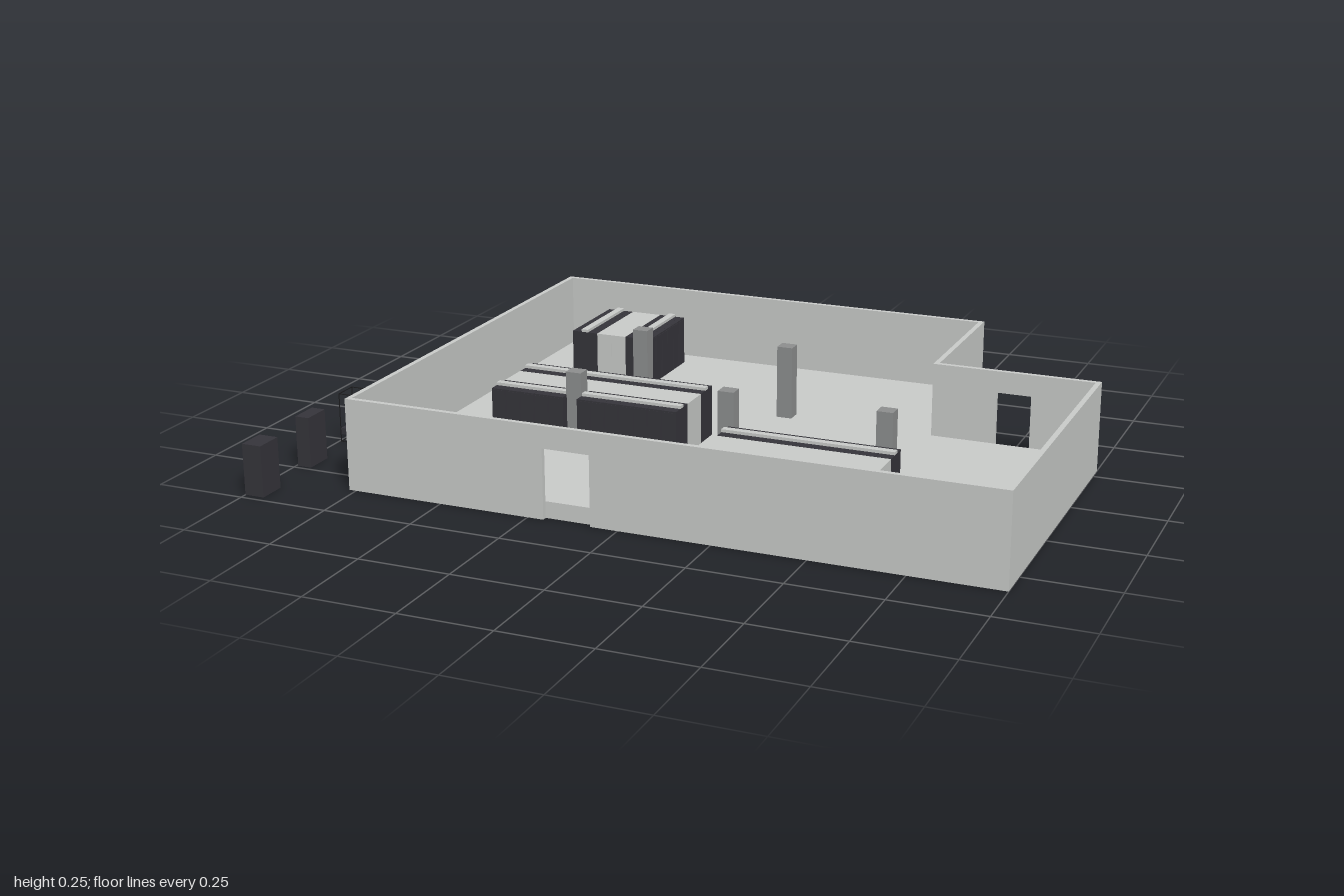
import * as THREE from 'three';

const mat = (name, color) => {
  const m = new THREE.MeshStandardMaterial({ color });
  m.name = name;
  return m;
};

export function createModel() {
  const shell = mat('light grey', 0xcbcdcb);
  const dark = mat('rack charcoal', 0x36353b);
  const columnGrey = mat('column grey', 0x8e9090);
  const black = mat('frame black', 0x1c1c1e);
  const FLOOR = 0.045, WALL = 0.25, T = 0.014, RACK_H = 0.14, DEPTH = 0.08;
  const model = new THREE.Group();
  model.name = 'serverRoom';

  // Box given by its limits on each axis
  const box = (parent, name, m, x0, x1, y0, y1, z0, z1) => {
    const mesh = new THREE.Mesh(new THREE.BoxGeometry(x1 - x0, y1 - y0, z1 - z0), m);
    mesh.position.set((x0 + x1) / 2, (y0 + y1) / 2, (z0 + z1) / 2);
    mesh.name = name;
    parent.add(mesh);
    return mesh;
  };

  // Raised floor, an L-shaped slab inside the walls
  const floorPts = [[-0.756, -0.721], [0.541, -0.721], [0.541, -0.281],
    [0.986, -0.281], [0.986, 0.581], [-0.756, 0.581]];
  const floorShape = new THREE.Shape(floorPts.map(([x, z]) => new THREE.Vector2(x, -z)));
  const floorGeo = new THREE.ExtrudeGeometry(floorShape, { depth: FLOOR, bevelEnabled: false });
  floorGeo.rotateX(-Math.PI / 2);
  const floor = new THREE.Mesh(floorGeo, shell);
  floor.name = 'raisedFloor';
  model.add(floor);

  // Outer walls: an elevation with an optional doorway, extruded inwards
  const corners = [[-0.77, -0.735], [0.555, -0.735], [0.555, -0.295],
    [1, -0.295], [1, 0.595], [-0.77, 0.595]];
  const doors = { 2: [0.165, 0.26], 4: [1.075, 1.205] };
  corners.forEach(([x, z], i) => {
    const [nx, nz] = corners[(i + 1) % corners.length];
    const len = Math.hypot(nx - x, nz - z) + (i === 1 ? T : 0);
    const s = new THREE.Shape();
    s.moveTo(0, 0);
    if (doors[i]) {
      const [a, b] = doors[i];
      s.lineTo(a, 0);
      s.lineTo(a, 0.19);
      s.lineTo(b, 0.19);
      s.lineTo(b, 0);
    }
    s.lineTo(len, 0);
    s.lineTo(len, WALL);
    s.lineTo(0, WALL);
    const wall = new THREE.Mesh(new THREE.ExtrudeGeometry(s, { depth: T, bevelEnabled: false }), shell);
    wall.position.set(x, 0, z);
    wall.rotation.y = Math.atan2(-(nz - z), nx - x);
    wall.name = doors[i] ? 'wallWithDoorway' : 'wall';
    model.add(wall);
  });

  // Structural columns
  for (const [x, z] of [[-0.325, -0.29], [0.115, -0.29], [-0.325, 0.145], [0.115, 0.145], [0.55, 0.145]]) {
    box(model, 'column', columnGrey, x - 0.022, x + 0.022, 0, WALL, z - 0.02, z + 0.02);
  }

  // Run of racks along x with a cable tray on top
  const rackRun = (parent, x0, x1, z) => {
    const n = Math.round((x1 - x0) / 0.0425), w = (x1 - x0) / n;
    for (let i = 0; i < n; i++) {
      const a = x0 + i * w;
      box(parent, 'rack', dark, a + 0.0006, a + w - 0.0006, FLOOR, FLOOR + RACK_H, z - DEPTH / 2 + 0.001, z + DEPTH / 2 - 0.001);
      for (const s of [-1, 1]) {
        const d = z + s * (DEPTH / 2 - 0.0005);
        box(parent, 'rackDoor', dark, a + 0.003, a + w - 0.003, FLOOR + 0.005, FLOOR + RACK_H - 0.004, d - 0.0005, d + 0.0005);
      }
    }
    box(parent, 'cableTray', shell, x0, x1, FLOOR + RACK_H, FLOOR + RACK_H + 0.008, z - 0.01, z + 0.01);
  };

  // Pod: two rack rows enclosing a roofed aisle with end doors
  const pod = (name, x, z, len, turn, gap) => {
    const g = new THREE.Group();
    g.name = name;
    g.position.set(x, 0, z);
    g.rotation.y = turn;
    const h = len / 2, top = FLOOR + RACK_H;
    rackRun(g, -h, h, -0.085);
    if (gap) {
      rackRun(g, -h, gap[0], 0.085);
      rackRun(g, gap[1], h, 0.085);
      box(g, 'blankingPanel', shell, gap[0], gap[1], FLOOR, top, 0.045, 0.06);
    } else rackRun(g, -h, h, 0.085);
    box(g, 'aisleRoof', shell, -h, h, top - 0.004, top, -0.045, 0.045);
    for (const s of [-1, 1]) {
      for (const d of [-1, 1]) {
        const c = s * (h - 0.002), e = d * 0.0225;
        box(g, 'aisleDoor', shell, c - 0.002, c + 0.002, FLOOR, top - 0.004, e - 0.0222, e + 0.0222);
      }
    }
    model.add(g);
  };
  pod('backPod', -0.475, -0.5225, 0.255, Math.PI / 2);
  pod('middlePod', -0.2875, 0.065, 0.545, 0, [-0.0575, -0.0175]);
  pod('frontPod', 0.3875, 0.3675, 0.465, 0);

  // Spare racks standing outside
  box(model, 'wideSpareRack', dark, -1, -0.945, 0, RACK_H, 0.65, 0.73);
  box(model, 'narrowSpareRack', dark, -0.995, -0.955, 0, RACK_H, 0.405, 0.487);

  // Open rack frame with one server unit inside
  const frame = new THREE.Group();
  frame.name = 'openRackFrame';
  model.add(frame);
  const X = [-0.993, -0.955], Y = [0, RACK_H], Z = [0.203, 0.27], b = 0.002;
  for (const x of X) for (const z of Z) box(frame, 'post', black, x - b / 2, x + b / 2, Y[0], Y[1], z - b / 2, z + b / 2);
  for (const y of [b / 2, RACK_H - b / 2]) {
    for (const z of Z) box(frame, 'crossRail', black, X[0], X[1], y - b / 2, y + b / 2, z - b / 2, z + b / 2);
    for (const x of X) box(frame, 'sideRail', black, x - b / 2, x + b / 2, y - b / 2, y + b / 2, Z[0], Z[1]);
  }
  box(frame, 'serverUnit', dark, X[0] + 0.001, X[1] - 0.001, 0.022, 0.04, 0.225, 0.27);

  return model;
}
